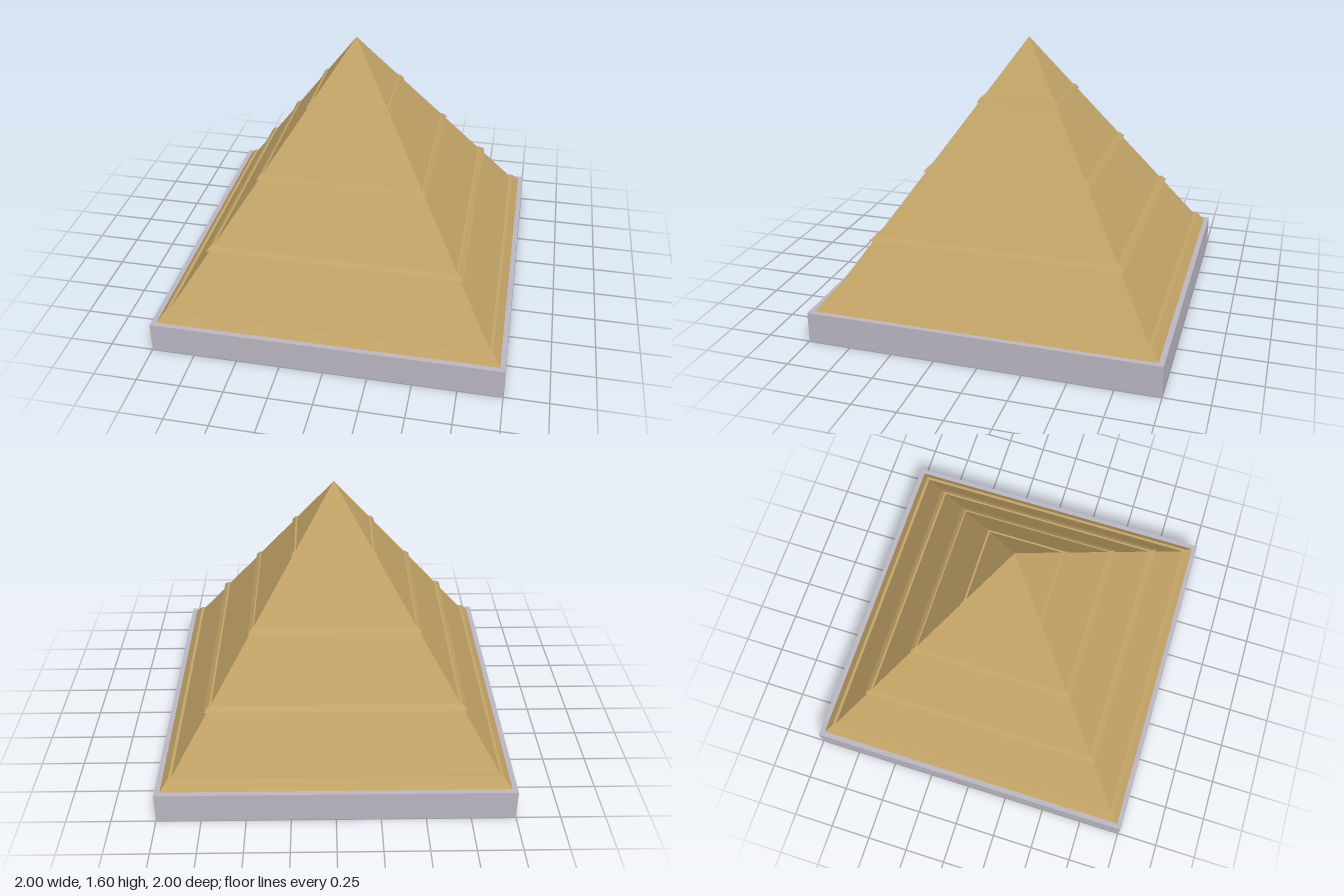
import * as THREE from 'three';

const sand = new THREE.MeshStandardMaterial({ color: 0xc2a366, flatShading: true });
const stone = new THREE.MeshStandardMaterial({ color: 0xbab6c2, flatShading: true });

// Square frustum given by its half widths and its bottom and top heights
function frustum(name, halfBottom, halfTop, y0, y1) {
  const geometry = new THREE.CylinderGeometry(
    halfTop * Math.SQRT2, halfBottom * Math.SQRT2, y1 - y0, 4, 1, false, Math.PI / 4);
  const mesh = new THREE.Mesh(geometry, sand);
  mesh.name = name;
  mesh.position.y = (y0 + y1) / 2;
  return mesh;
}

export function createModel() {
  const model = new THREE.Group();
  model.name = 'pyramid';

  // Square slab under the pyramid
  const plinth = new THREE.Mesh(new THREE.BoxGeometry(2, 0.18, 2), stone);
  plinth.name = 'plinth';
  plinth.position.y = 0.09;
  model.add(plinth);

  // Main body rising to a point
  model.add(frustum('pyramidBody', 0.945, 0, 0.18, 1.6));

  // Sloped base course and three thin ledges
  const bands = [
    ['baseCourse', 0.97, 0.925, 0.18, 0.237],
    ['lowerLedge', 0.728, 0.7, 0.538, 0.566],
    ['middleLedge', 0.485, 0.46, 0.893, 0.92],
    ['upperLedge', 0.243, 0.224, 1.25, 1.279],
  ];
  for (const band of bands) model.add(frustum(...band));

  return model;
}
